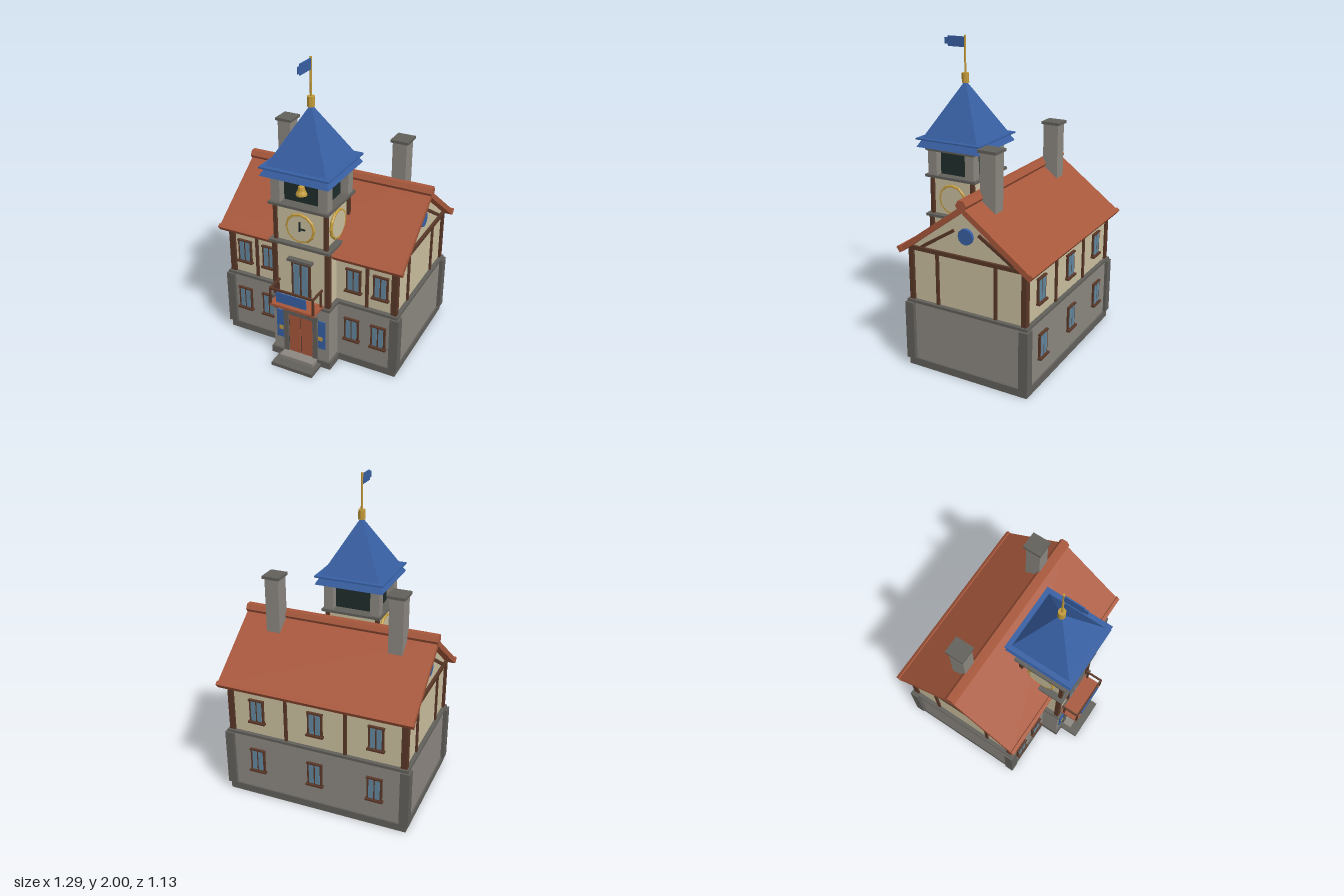
import * as THREE from 'three';

const mat = (name, color) => {
  const m = new THREE.MeshStandardMaterial({ color });
  m.name = name;
  m.flatShading = true;
  return m;
};

export function createModel() {
  const root = new THREE.Group();
  root.name = 'townHall';
  const stone = mat('stone', 0x8c8780), darkStone = mat('darkStone', 0x62605b);
  const plaster = mat('plaster', 0xcbbf9f), timber = mat('timber', 0x5a3828);
  const tile = mat('redTile', 0xa8583c), blue = mat('blue', 0x3860a4);
  const gold = mat('gold', 0xc39b3a), glass = mat('glass', 0x64889f);
  const dark = mat('dark', 0x1f2d2c);

  const group = (name, parent = root) => {
    const g = new THREE.Group();
    g.name = name;
    parent.add(g);
    return g;
  };
  const add = (name, geo, m, x = 0, y = 0, z = 0, parent = root) => {
    const mesh = new THREE.Mesh(geo, m);
    mesh.name = name;
    mesh.position.set(x, y, z);
    parent.add(mesh);
    return mesh;
  };
  // Box given by its extents along each axis
  const box = (name, m, x0, x1, y0, y1, z0, z1, parent = root) =>
    add(name, new THREE.BoxGeometry(x1 - x0, y1 - y0, z1 - z0), m,
      (x0 + x1) / 2, (y0 + y1) / 2, (z0 + z1) / 2, parent);
  // Profile of [z, y] points extruded along x, centred
  const extrudeX = (name, m, pts, width) => {
    const s = new THREE.Shape(pts.map(([z, y]) => new THREE.Vector2(-z, y)));
    const g = new THREE.ExtrudeGeometry(s, { depth: width, bevelEnabled: false });
    g.translate(0, 0, -width / 2).rotateY(Math.PI / 2);
    return add(name, g, m);
  };
  const square = (name, m, top, bottom, y0, y1, z) => {
    const g = new THREE.CylinderGeometry(top * Math.SQRT2, bottom * Math.SQRT2, y1 - y0, 4);
    return add(name, g.rotateY(Math.PI / 4), m, 0, (y0 + y1) / 2, z);
  };

  // Ground floor
  const Z = -0.105;
  box('plinth', darkStone, -0.61, 0.61, 0, 0.05, -0.52, 0.315);
  box('groundFloor', stone, -0.6, 0.6, 0.05, 0.44, -0.51, 0.305);
  box('floorLedge', darkStone, -0.612, 0.612, 0.437, 0.455, -0.52, 0.315);
  for (const s of [-1, 1]) for (const z of [-0.5, 0.295])
    box('cornerPier', darkStone, s * 0.595 - 0.03, s * 0.595 + 0.03, 0.05, 0.435, z - 0.03, z + 0.03);

  // Upper floor with gables
  extrudeX('upperFloor', plaster,
    [[Z + 0.39, 0.45], [Z + 0.39, 0.8], [Z, 1.1], [Z - 0.39, 0.8], [Z - 0.39, 0.45]], 1.17);
  for (const s of [-1, 1]) {
    for (const z of [0.285, -0.49])
      box('cornerPost', timber, s * 0.58 - 0.02, s * 0.58 + 0.02, 0.455, 0.8, z - 0.017, z + 0.017);
    for (const z of [0.1, -0.3])
      box('sidePost', timber, s * 0.585 - 0.012, s * 0.585 + 0.012, 0.455, 0.8, z - 0.01, z + 0.01);
    box('gableBeam', timber, s * 0.587 - 0.015, s * 0.587 + 0.015, 0.785, 0.81, -0.51, 0.3);
    for (const d of [-1, 1]) {
      const brace = add('gableBrace', new THREE.BoxGeometry(0.022, 0.02, 0.275), timber,
        s * 0.585, 0.885, Z + d * 0.2);
      brace.rotation.x = d * 0.57;
    }
    add('gableDisc', new THREE.CylinderGeometry(0.05, 0.05, 0.03, 12).rotateZ(Math.PI / 2), blue,
      s * 0.588, 0.937, Z);
    box('frontPost', timber, s * 0.395 - 0.01, s * 0.395 + 0.01, 0.455, 0.78, 0.28, 0.297);
    box('backPost', timber, s * 0.2 - 0.01, s * 0.2 + 0.01, 0.455, 0.78, -0.507, -0.49);
  }
  box('frontBeam', timber, -0.59, 0.59, 0.765, 0.79, 0.28, 0.3);
  box('backBeam', timber, -0.59, 0.59, 0.765, 0.79, -0.51, -0.49);

  // Windows: frame, two panes, sill and head
  const addWindow = (x, y, z, back) => {
    const w = group('window');
    w.position.set(x, y, z);
    if (back) w.rotation.y = Math.PI;
    box('windowFrame', timber, -0.05, 0.05, -0.078, 0.078, -0.01, 0.012, w);
    for (const s of [-1, 1])
      box('pane', glass, s * 0.021 - 0.016, s * 0.021 + 0.016, -0.07, 0.067, 0.01, 0.015, w);
    box('windowSill', timber, -0.058, 0.058, -0.088, -0.076, -0.01, 0.025, w);
    box('windowHead', timber, -0.053, 0.053, 0.07, 0.08, -0.01, 0.018, w);
  };
  for (const [y, zf, zb] of [[0.268, 0.305, -0.51], [0.625, 0.285, -0.495]]) {
    for (const x of [-0.487, -0.303, 0.303, 0.487]) addWindow(x, y, zf, false);
    for (const x of [-0.4, 0, 0.4]) addWindow(x, y, zb, true);
  }

  // Main roof, eaves and ridge
  extrudeX('mainRoof', tile, [[Z + 0.45, 0.8], [Z, 1.137], [Z - 0.45, 0.8],
    [Z - 0.43, 0.772], [Z, 1.095], [Z + 0.43, 0.772]], 1.28);
  for (const s of [-1, 1]) {
    const eave = add('eave', new THREE.BoxGeometry(1.288, 0.04, 0.026), tile, 0, 0.792, Z + s * 0.442);
    eave.rotation.x = s * 0.64;
  }
  add('ridge', new THREE.CylinderGeometry(0.036, 0.036, 1.288, 6).rotateZ(Math.PI / 2), tile, 0, 1.138, Z);

  // Chimneys
  for (const s of [-1, 1]) {
    box('chimney', stone, s * 0.408 - 0.046, s * 0.408 + 0.046, 1.0, 1.41, -0.222, -0.118);
    box('chimneyCap', darkStone, s * 0.408 - 0.058, s * 0.408 + 0.058, 1.408, 1.426, -0.235, -0.108);
  }

  // Clock tower
  const T = 0.255;
  const tier = (name, m, hx, hz, y0, y1) => box(name, m, -hx, hx, y0, y1, T - hz, T + hz);
  tier('towerPlinth', darkStone, 0.215, 0.185, 0, 0.05);
  tier('towerBase', stone, 0.2, 0.17, 0.05, 0.44);
  tier('towerLedge', darkStone, 0.21, 0.18, 0.437, 0.455);
  tier('towerMiddle', plaster, 0.182, 0.15, 0.455, 0.85);
  tier('towerLedge', darkStone, 0.21, 0.185, 0.85, 0.867);
  tier('clockStage', plaster, 0.165, 0.147, 0.867, 1.115);
  tier('towerLedge', darkStone, 0.203, 0.188, 1.113, 1.13);
  tier('belfryOpening', dark, 0.14, 0.115, 1.13, 1.292);
  tier('belfryCornice', darkStone, 0.205, 0.18, 1.29, 1.312);
  for (const sx of [-1, 1]) for (const sz of [-1, 1]) {
    const post = (name, m, x, z, hx, hz, y0, y1) => box(name, m, sx * x - hx, sx * x + hx,
      y0, y1, T + sz * z - hz, T + sz * z + hz);
    post('towerPost', timber, 0.184, 0.15, 0.016, 0.015, 0.455, 0.85);
    post('clockStagePost', timber, 0.173, 0.15, 0.012, 0.012, 0.867, 1.113);
    post('belfryPillar', stone, 0.16, 0.138, 0.031, 0.032, 1.13, 1.292);
  }

  // Bell
  const bellPts = [[0, 0], [0.036, 0], [0.034, 0.012], [0.024, 0.03], [0.019, 0.055], [0, 0.062]];
  add('bell', new THREE.LatheGeometry(bellPts.map(p => new THREE.Vector2(...p)), 10), gold,
    0, 1.193, T + 0.132);

  // Clock rings on three faces, hands on the front
  const ring = (x, z, ry) => {
    const r = add('clockRing', new THREE.TorusGeometry(0.092, 0.01, 6, 12), gold, x, 0.977, z);
    r.rotation.y = ry;
    const f = add('clockFace', new THREE.CylinderGeometry(0.09, 0.09, 0.016, 12).rotateX(Math.PI / 2),
      plaster, x, 0.977, z);
    f.rotation.y = ry;
  };
  ring(0, T + 0.155, 0);
  ring(0.175, T, Math.PI / 2);
  ring(-0.175, T, -Math.PI / 2);
  box('minuteHand', dark, -0.005, 0.005, 0.96, 1.025, T + 0.162, T + 0.17);
  box('hourHand', dark, 0, 0.038, 0.972, 0.982, T + 0.162, T + 0.17);

  // Tower roof, finial and flag
  square('roofSkirt', blue, 0.2, 0.23, 1.31, 1.362, T);
  square('roofEave', blue, 0.232, 0.232, 1.358, 1.368, T);
  square('spire', blue, 0.003, 0.2, 1.367, 1.715, T);
  add('finial', new THREE.CylinderGeometry(0.024, 0.024, 0.062, 8), gold, 0, 1.736, T);
  add('flagPole', new THREE.CylinderGeometry(0.007, 0.007, 0.25, 6), gold, 0, 1.875, T);
  box('flag', blue, -0.004, 0.004, 1.925, 1.99, T, T + 0.125);
  box('flagTip', blue, -0.004, 0.004, 1.938, 1.978, T + 0.125, T + 0.15);

  // Entrance: steps, door, surround and hangings
  box('lowerStep', darkStone, -0.147, 0.147, 0, 0.025, 0.42, 0.565);
  box('upperStep', stone, -0.12, 0.12, 0.025, 0.052, 0.42, 0.5);
  box('doorLintel', darkStone, -0.124, 0.124, 0.343, 0.378, 0.42, 0.442);
  box('doorRecess', dark, -0.092, 0.092, 0.05, 0.345, 0.42, 0.427);
  for (const s of [-1, 1]) {
    box('doorJamb', darkStone, s * 0.104 - 0.016, s * 0.104 + 0.016, 0.05, 0.345, 0.42, 0.44);
    box('doorLeaf', tile, s * 0.043 - 0.04, s * 0.043 + 0.04, 0.052, 0.34, 0.424, 0.433);
    box('hanging', blue, s * 0.15 - 0.025, s * 0.15 + 0.025, 0.14, 0.35, 0.424, 0.433);
    box('hangingBadge', gold, s * 0.142 - 0.014, s * 0.142 + 0.014, 0.203, 0.231, 0.432, 0.437);
  }

  // Balcony door
  box('balconyDoorFrame', timber, -0.066, 0.066, 0.48, 0.73, 0.4, 0.418);
  for (const s of [-1, 1])
    box('balconyPane', glass, s * 0.029 - 0.022, s * 0.029 + 0.022, 0.495, 0.718, 0.416, 0.421);
  box('balconyLintel', darkStone, -0.084, 0.084, 0.742, 0.76, 0.4, 0.44);

  // Balcony
  box('balconyFloor', tile, -0.158, 0.158, 0.455, 0.472, 0.42, 0.545);
  for (const s of [-1, 1]) {
    const bracket = add('bracket', new THREE.BoxGeometry(0.022, 0.016, 0.115), timber, s * 0.113, 0.432, 0.487);
    bracket.rotation.x = -0.4;
    for (const z of [0.44, 0.54])
      box('railPost', timber, s * 0.15 - 0.006, s * 0.15 + 0.006, 0.47, 0.585, z - 0.006, z + 0.006);
    box('sideRail', timber, s * 0.15 - 0.006, s * 0.15 + 0.006, 0.575, 0.588, 0.42, 0.546);
  }
  box('frontRail', timber, -0.156, 0.156, 0.575, 0.588, 0.534, 0.546);
  box('balconyBanner', blue, -0.105, 0.105, 0.5, 0.57, 0.542, 0.55);
  return root;
}
